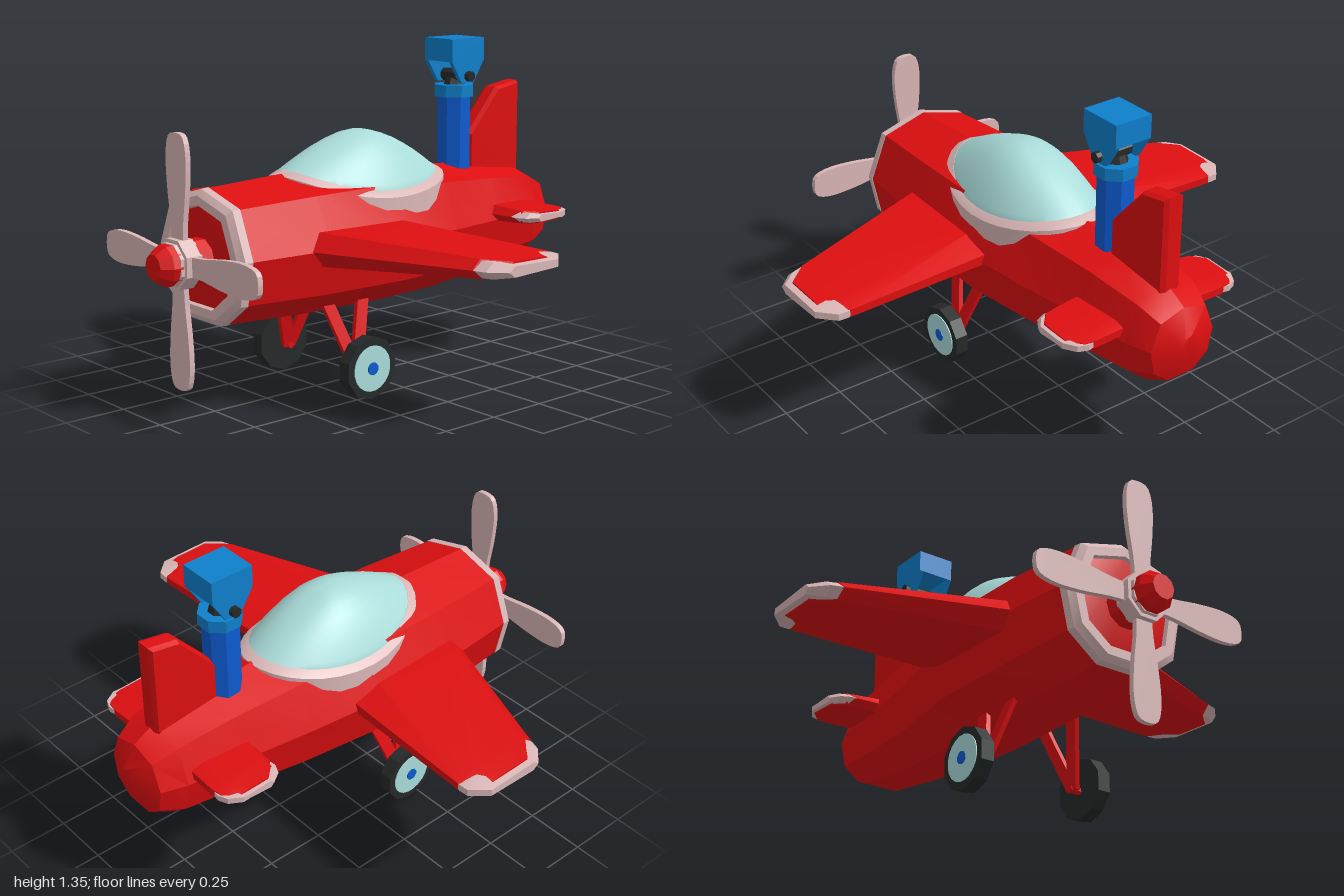
import * as THREE from 'three';
import { toCreasedNormals } from 'three/addons/utils/BufferGeometryUtils.js';

const mat = (name, color) => Object.assign(new THREE.MeshStandardMaterial({ color }), { name });

// Skin a closed solid through rings of [x, y, z] points, facing outward
function loft(rings, crease = 0.5) {
  const tris = [], n = rings[0].length;
  for (let i = 0; i + 1 < rings.length; i++) {
    for (let j = 0; j < n; j++) {
      const k = (j + 1) % n, a = rings[i][j], b = rings[i][k], c = rings[i + 1][k], d = rings[i + 1][j];
      tris.push([a, b, c], [a, c, d]);
    }
  }
  const last = rings[rings.length - 1];
  for (let j = 1; j + 1 < n; j++) {
    tris.push([rings[0][0], rings[0][j + 1], rings[0][j]], [last[0], last[j], last[j + 1]]);
  }
  const v = (p) => new THREE.Vector3(...p);
  const volume = tris.reduce((s, [a, b, c]) => s + v(a).dot(v(b).cross(v(c))), 0);
  if (volume < 0) tris.forEach((t) => t.reverse());
  const g = new THREE.BufferGeometry();
  g.setAttribute('position', new THREE.Float32BufferAttribute(tris.flat(2), 3));
  return toCreasedNormals(g, crease);
}

export function createModel() {
  const red = mat('red paint', 0xdd0e10), pink = mat('pale pink trim', 0xd9b6b6);
  const teal = mat('pale teal', 0xaadcd9), black = mat('black rubber', 0x262929);
  const blue = mat('deep blue', 0x0d5bd0), sky = mat('bright blue', 0x0f80cc);

  const model = new THREE.Group();
  model.name = 'plane';
  const body = new THREE.Group();
  body.name = 'airframe';
  body.position.x = -0.02;
  model.add(body);

  const add = (name, geo, material, x = 0, y = 0, z = 0) => {
    const m = new THREE.Mesh(geo, material);
    m.name = name;
    m.position.set(x, y, z);
    body.add(m);
    return m;
  };
  // Faceted cylinder lying along an axis
  const rod = (axis, r1, r2, len, sides) => {
    const g = new THREE.CylinderGeometry(r1, r2, len, sides);
    g.rotateY(Math.PI / sides);
    if (axis === 'x') g.rotateZ(-Math.PI / 2);
    if (axis === 'z') g.rotateX(Math.PI / 2);
    return toCreasedNormals(g, 0.5);
  };

  // Fuselage: one cross-section scaled along z
  const half = [[0, 1], [0.72, 0.78], [1, 0.05], [0.87, -0.62], [0.4, -1]];
  const section = [...half, ...half.slice(1).reverse().map(([x, y]) => [-x, y])];
  const hull = ([z, w, y0, y1, s = 1]) =>
    section.map(([x, y]) => [x * w * s, (y0 + y1) / 2 + (y * (y1 - y0) * s) / 2, z]);
  add('fuselage', loft([
    [0.785, 0.27, 0.36, 0.865, 0.74], [0.75, 0.27, 0.36, 0.865], [0.4, 0.3, 0.345, 0.88],
    [0, 0.31, 0.34, 0.885], [-0.3, 0.258, 0.34, 0.845], [-0.6, 0.215, 0.365, 0.82],
    [-0.85, 0.19, 0.395, 0.79], [-0.95, 0.15, 0.44, 0.735], [-1, 0.04, 0.55, 0.64],
  ].map(hull)), red);
  add('noseRing', loft([[0.747, 1.01], [0.78, 1.0], [0.8, 0.91], [0.8, 0.77], [0.77, 0.73]]
    .map(([z, s]) => hull([z, 0.27, 0.36, 0.865, s]))), pink);

  // Canopy: polar dome whose edge follows the hull, and the rim around it
  const edge = (a, r, lift) => {
    const s2 = Math.sin(a) ** 2, c = Math.cos(a);
    const yEdge = (c > 0 ? 0.885 : 0.845) * (1 - s2) + 0.79 * s2;
    const f = 1 - Math.min(r, 1) ** (1.6 + 0.7 * s2);
    return [Math.sin(a) * 0.245 * r, yEdge + (1.02 - yEdge) * f + lift, 0.01 + c * 0.375 * r];
  };
  const polar = (rs, lifts) => {
    const N = 32;
    return rs.map((r, i) => Array.from({ length: N }, (_, j) => edge((j / N) * Math.PI * 2, r, lifts[i])));
  };
  const domeRs = [1, 0.93, 0.82, 0.7, 0.56, 0.42, 0.28, 0.14, 0.02];
  add('canopy', loft(polar([1, ...domeRs], [-0.06, ...domeRs.map(() => 0)]), 0.7), teal);
  add('canopyRim', loft(polar([1.09, 1.08, 0.98], [-0.1, -0.012, 0.002]), 0.7), pink);

  // Wings and tailplanes: rings of (z, y) at stations along x
  const foil = (x, zf, zb, y0, y1, thin) => {
    const ym = (y0 + y1) / 2, d = zf - zb;
    return [[zf, ym], [zf - d * 0.1, y1], [zb + d * 0.2, y1 - 0.005], [zb, ym + thin],
      [zb, ym - thin], [zb + d * 0.2, y0 + 0.005], [zf - d * 0.1, y0]].map(([z, y]) => [x, y, z]);
  };
  for (const side of [1, -1]) {
    const name = side > 0 ? 'left' : 'right', k = side > 0 ? 1.02 : 0.98;
    const span = (stations, scale) => loft(stations.map(([x, ...r]) => foil(side * x * scale, ...r)), 0.3);
    add(name + 'Wing', span([
      [0.15, 0.53, -0.09, 0.56, 0.7, 0.025], [0.3, 0.48, -0.1, 0.565, 0.693, 0.02],
      [0.89, 0.265, -0.13, 0.597, 0.67, 0.015], [0.975, 0.17, -0.05, 0.603, 0.664, 0.015],
    ], k), red);
    add(name + 'WingTip', span([
      [0.8, 0.27, -0.1, 0.615, 0.65, 0.008], [0.9, 0.262, -0.131, 0.601, 0.666, 0.014],
      [0.94, 0.25, -0.128, 0.602, 0.664, 0.014], [1, 0.19, -0.06, 0.612, 0.653, 0.014],
    ], k), pink);
    add(name + 'Tailplane', span([
      [0.1, -0.54, -0.82, 0.595, 0.67, 0.015], [0.3, -0.555, -0.828, 0.604, 0.66, 0.015],
      [0.35, -0.565, -0.822, 0.606, 0.658, 0.015], [0.395, -0.625, -0.77, 0.608, 0.655, 0.012],
    ], 1), red);
    add(name + 'TailplaneTip', span([
      [0.26, -0.56, -0.815, 0.62, 0.645, 0.008], [0.34, -0.556, -0.831, 0.611, 0.653, 0.012],
      [0.38, -0.575, -0.815, 0.612, 0.652, 0.012], [0.41, -0.62, -0.765, 0.617, 0.647, 0.012],
    ], 1), pink);

    // Landing gear
    const wx = side * 0.275, out = (d) => wx + side * d;
    add(name + 'Tire', rod('x', 0.125, 0.125, 0.056, 10), black, wx, 0.128, 0.2);
    add(name + 'WheelDisc', rod('x', 0.092, 0.092, 0.008, 20), teal, out(0.028), 0.128, 0.2);
    add(name + 'WheelBoss', rod('x', 0.026, 0.026, 0.012, 10), blue, out(0.03), 0.128, 0.2);
    add(name + 'Axle', rod('x', 0.016, 0.016, 0.06, 8), red, out(-0.045), 0.118, 0.2);
    const bar = (x, y, z) => [[-1, -1], [1, -1], [1, 1], [-1, 1]]
      .map(([a, b]) => [x + a * 0.01, y, z + b * 0.028]);
    for (const [z, label] of [[0.3, 'Front'], [0.11, 'Rear']]) {
      add(name + label + 'Strut', loft([bar(side * 0.215, 0.11, 0.205), bar(side * 0.14, 0.39, z)]), red);
    }
  }

  // Tail fin
  const finShape = new THREE.Shape([[0.59, 0.75], [0.59, 0.945], [0.75, 1.125], [0.865, 1.145], [0.865, 0.72]]
    .map((p) => new THREE.Vector2(...p)));
  const fin = new THREE.ExtrudeGeometry(finShape, {
    depth: 0.05, bevelEnabled: true, bevelSize: 0.01, bevelThickness: 0.02, bevelSegments: 1,
  });
  fin.translate(0, 0, -0.025).rotateY(Math.PI / 2);
  add('tailFin', fin, red);

  // Propeller
  const edgeCurve = new THREE.SplineCurve([[0.036, 0.05], [0.04, 0.15], [0.058, 0.28], [0.064, 0.4],
    [0.045, 0.475], [0, 0.488]].map((p) => new THREE.Vector2(...p))).getPoints(14);
  const bladeShape = new THREE.Shape([...edgeCurve,
    ...edgeCurve.slice(0, -1).reverse().map((p) => new THREE.Vector2(-p.x, p.y))]);
  const blade = new THREE.ExtrudeGeometry(bladeShape, { depth: 0.022, bevelEnabled: false });
  blade.translate(0, 0, -0.011);
  for (let i = 0; i < 4; i++) {
    add('propellerBlade', blade, pink, 0, 0.598, 0.88).rotation.z = (i * Math.PI) / 2;
  }
  add('propellerShaft', rod('z', 0.085, 0.085, 0.09, 10), red, 0, 0.598, 0.815);
  add('propellerHub', rod('z', 0.1, 0.1, 0.065, 8), pink, 0, 0.598, 0.882);
  add('hubFlange', rod('z', 0.085, 0.085, 0.096, 8), pink, 0, 0.598, 0.882);
  add('spinner', rod('z', 0.08, 0.08, 0.04, 10), red, 0, 0.598, 0.938);
  add('spinnerTip', rod('z', 0.05, 0.08, 0.042, 10), red, 0, 0.598, 0.979);

  // Rear post with swivelling head
  const px = -0.01, pz = -0.535;
  add('post', rod('y', 0.074, 0.074, 0.36, 8), blue, px, 0.94, pz);
  add('postCollar', rod('y', 0.087, 0.087, 0.05, 8), sky, px, 1.135, pz);
  add('swivelNeck', rod('y', 0.035, 0.05, 0.035, 8), black, px, 1.17, pz);
  add('swivelBarrel', rod('x', 0.028, 0.028, 0.11, 8), black, px, 1.198, pz);
  add('swivelPin', rod('x', 0.012, 0.012, 0.2, 8), black, px, 1.198, pz);
  add('headBlock', new THREE.BoxGeometry(0.165, 0.095, 0.185), sky, px, 1.308, pz);
  for (const s of [-1, 1]) {
    const plate = (y, w) => [[-1, -1], [1, -1], [1, 1], [-1, 1]]
      .map(([a, b]) => [px + s * 0.072 + a * 0.01, y, pz + b * w]);
    add('headBracket', loft([plate(1.17, 0.035), plate(1.195, 0.05), plate(1.262, 0.092)], 0.1), sky);
    add('swivelKnob', rod('x', 0.022, 0.022, 0.022, 8), black, px + s * 0.093, 1.198, pz);
  }
  return model;
}
